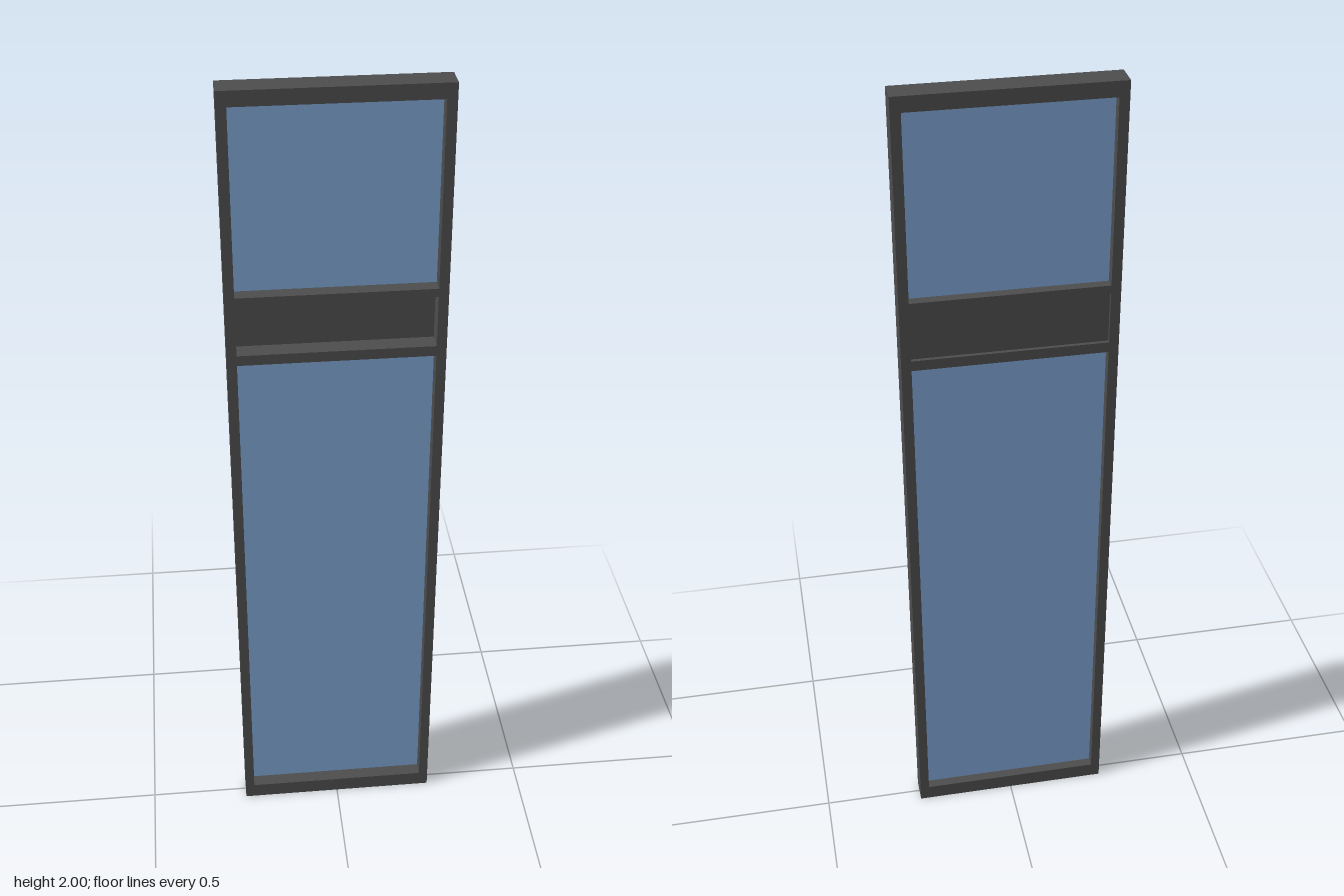
import * as THREE from 'three';

const W = 0.5, H = 2, D = 0.062; // overall frame size
const HALF_OPENING = 0.227;
const OPENINGS = { lower: [0.04, 1.36], middle: [1.385, 1.51], upper: [1.53, 1.965] };

function rectangle(path, x, y0, y1) {
  path.moveTo(-x, y0);
  path.lineTo(x, y0);
  path.lineTo(x, y1);
  path.lineTo(-x, y1);
  path.closePath();
  return path;
}

export function createModel() {
  const group = new THREE.Group();
  group.name = 'window';
  const frameMaterial = new THREE.MeshStandardMaterial({ color: 0x4d4d4d });
  const glassMaterial = new THREE.MeshStandardMaterial({ color: 0x7fa5d3 });

  // Frame with three openings
  const outline = rectangle(new THREE.Shape(), W / 2, 0, H);
  for (const [y0, y1] of Object.values(OPENINGS)) {
    outline.holes.push(rectangle(new THREE.Path(), HALF_OPENING, y0, y1));
  }
  const frameGeometry = new THREE.ExtrudeGeometry(outline, { depth: D, bevelEnabled: false });
  frameGeometry.translate(0, 0, -D / 2);
  const frame = new THREE.Mesh(frameGeometry, frameMaterial);
  frame.name = 'frame';
  group.add(frame);

  // Sheet filling one opening
  function addSheet(name, [y0, y1], z, thickness, material) {
    const sheet = new THREE.Mesh(
      new THREE.BoxGeometry(HALF_OPENING * 2, y1 - y0, thickness), material);
    sheet.position.set(0, (y0 + y1) / 2, z);
    sheet.name = name;
    group.add(sheet);
  }

  // Glass panes, and a solid panel set towards the back
  addSheet('lowerPane', OPENINGS.lower, -0.005, 0.004, glassMaterial);
  addSheet('upperPane', OPENINGS.upper, -0.005, 0.004, glassMaterial);
  addSheet('solidPanel', OPENINGS.middle, -0.018, 0.008, frameMaterial);

  return group;
}
